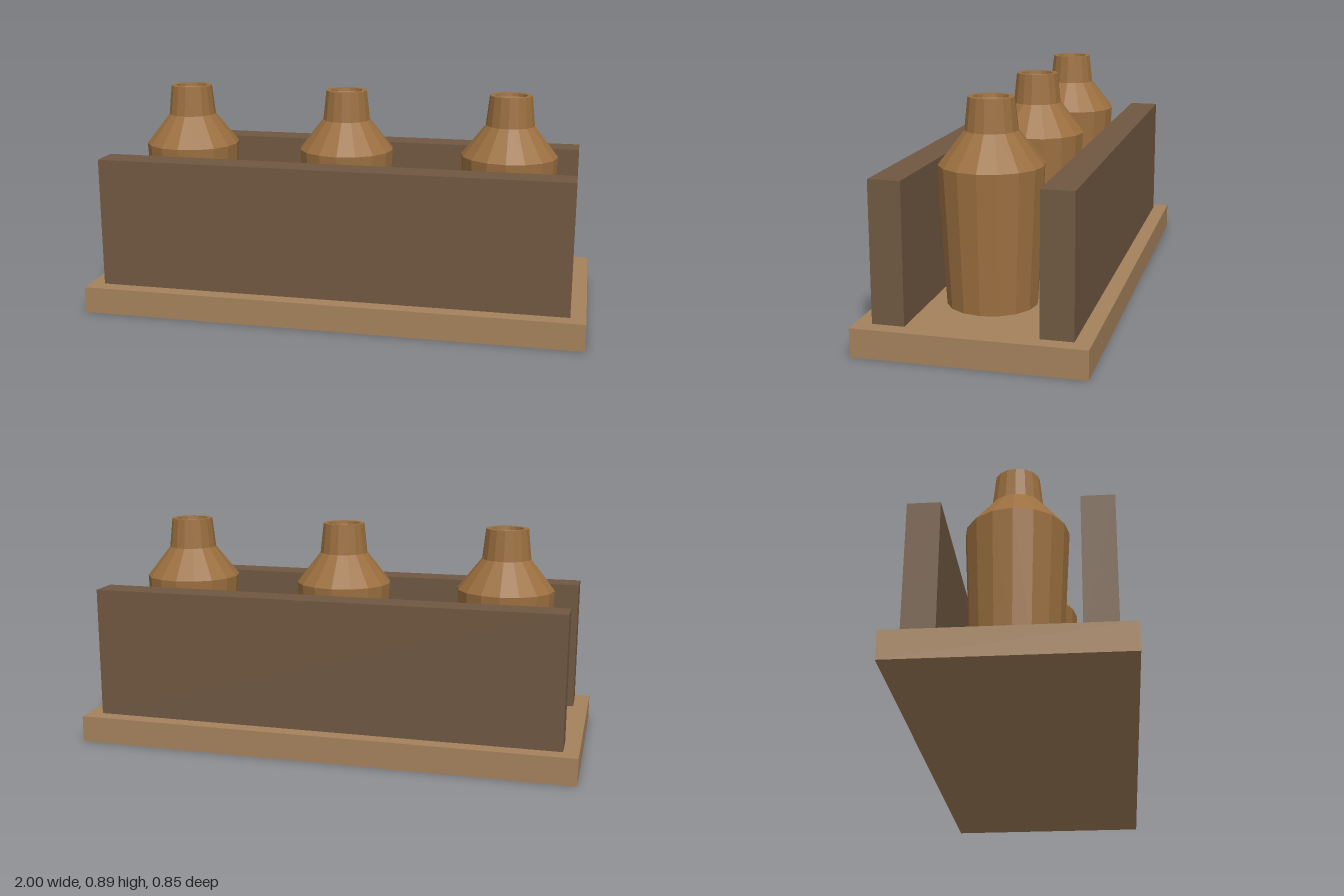
import * as THREE from 'three';

const paint = (color) => new THREE.MeshStandardMaterial({ color, flatShading: true });

function addBox(group, name, size, position, material) {
  const mesh = new THREE.Mesh(new THREE.BoxGeometry(...size), material);
  mesh.position.set(...position);
  mesh.name = name;
  group.add(mesh);
}

export function createModel() {
  const group = new THREE.Group();
  group.name = 'bottleRack';
  const tan = paint(0xa5825c);
  const darkWood = paint(0x705841);
  const brown = paint(0x9c7040);

  // base board
  addBox(group, 'base', [2, 0.107, 0.85], [0, 0.0535, 0], tan);

  // front and back walls
  for (const side of [1, -1]) {
    addBox(group, side > 0 ? 'frontWall' : 'backWall',
      [1.88, 0.521, 0.12], [0, 0.3675, side * 0.303], darkWood);
  }

  // bottle outline from the closed bottom up, over the lip and into the mouth
  const profile = [
    [0, 0.13], [0.167, 0.13], [0.193, 0.645], [0.097, 0.767],
    [0.084, 0.887], [0.064, 0.887], [0.062, 0.872],
  ].map(([r, y]) => new THREE.Vector2(r, y));
  const bottleShape = new THREE.LatheGeometry(profile, 16);
  const plugShape = new THREE.CircleGeometry(0.063, 16).rotateX(-Math.PI / 2);

  for (const x of [-0.667, 0, 0.667]) {
    const bottle = new THREE.Group();
    bottle.name = 'bottle';
    bottle.position.x = x;

    const body = new THREE.Mesh(bottleShape, brown);
    body.name = 'bottleBody';

    // recessed disc in the mouth
    const plug = new THREE.Mesh(plugShape, tan);
    plug.name = 'bottlePlug';
    plug.position.y = 0.873;

    bottle.add(body, plug);
    group.add(bottle);
  }
  return group;
}
